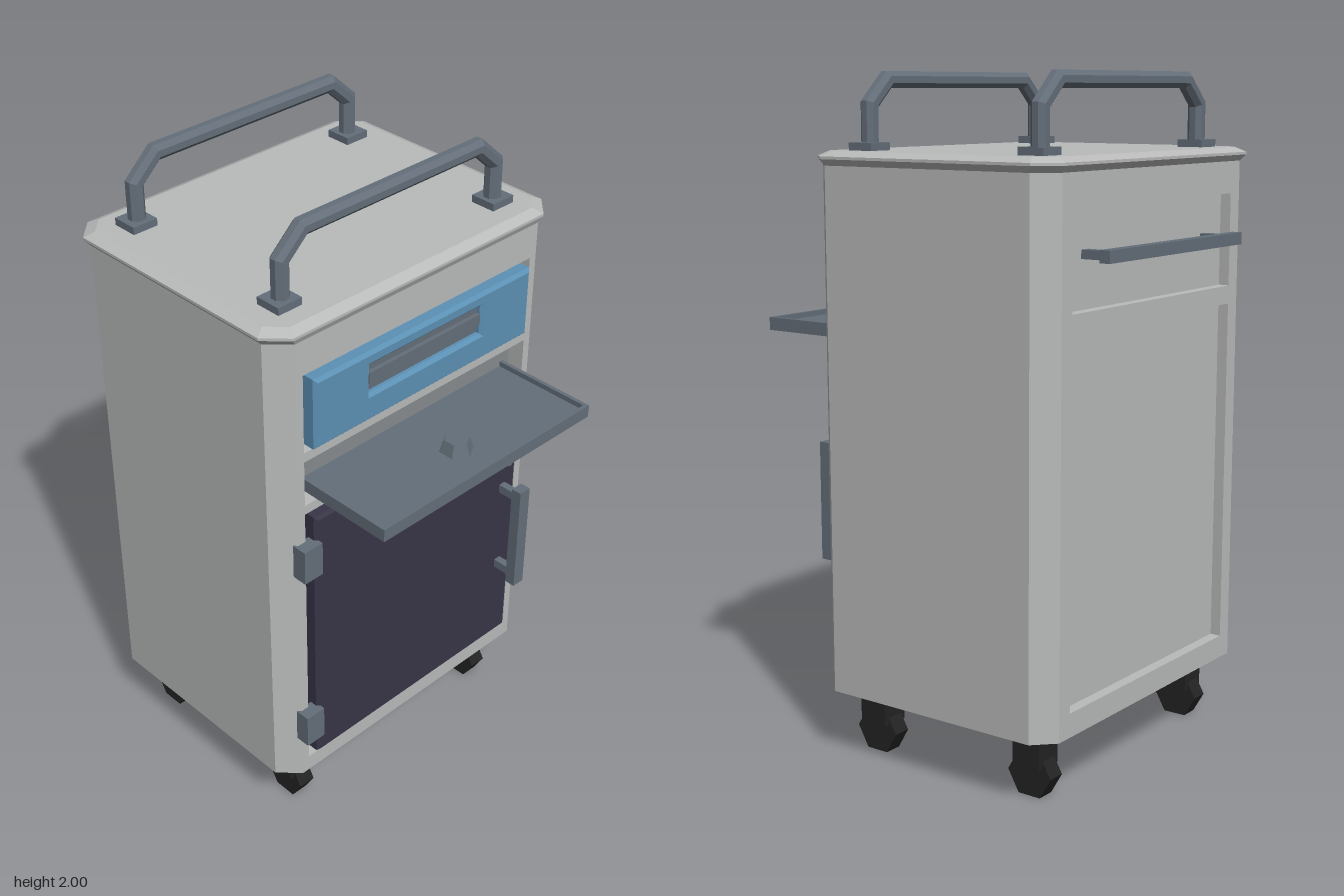
import * as THREE from 'three';

const mat = (name, color) => Object.assign(new THREE.MeshStandardMaterial({ color }), { name });

export function createModel() {
  const root = new THREE.Group();
  root.name = 'bedsideCabinet';
  const shell = mat('shellGrey', 0xb9baba);
  const inner = mat('recessGrey', 0x868b8f);
  const steel = mat('steelBlueGrey', 0x646e79);
  const blue = mat('drawerBlue', 0x5c91b5);
  const dark = mat('doorPurple', 0x383548);
  const black = mat('casterBlack', 0x232323);

  const add = (name, geo, material, parent = root) => {
    const m = new THREE.Mesh(geo, material);
    m.name = name;
    parent.add(m);
    return m;
  };
  // box given by its limits
  const box = (name, material, x0, x1, y0, y1, z0, z1, parent) => {
    const g = new THREE.BoxGeometry(x1 - x0, y1 - y0, z1 - z0);
    g.translate((x0 + x1) / 2, (y0 + y1) / 2, (z0 + z1) / 2);
    return add(name, g, material, parent);
  };
  // flat-shaded skin over convex rings, closed at both ends
  const loft = (rings) => {
    const n = rings[0].length, last = (rings.length - 1) * n, idx = [];
    for (let r = 0; r < rings.length - 1; r++) {
      for (let i = 0; i < n; i++) {
        const a = r * n + i, b = r * n + (i + 1) % n;
        idx.push(a, b, b + n, a, b + n, a + n);
      }
    }
    for (let i = 1; i < n - 1; i++) idx.push(0, i + 1, i, last, last + i, last + i + 1);
    const g = new THREE.BufferGeometry();
    g.setAttribute('position', new THREE.Float32BufferAttribute(rings.flat(2), 3));
    g.setIndex(idx);
    const flat = g.toNonIndexed();
    flat.computeVertexNormals();
    return flat;
  };
  const rect = (P, [x0, x1, y0, y1]) => {
    const p = new P();
    p.moveTo(x0, y0); p.lineTo(x1, y0); p.lineTo(x1, y1); p.lineTo(x0, y1); p.closePath();
    return p;
  };
  // upright plate with rectangular holes and optional bevelled edges
  const plate = (name, material, outline, holes, z0, z1, bevel = 0) => {
    const s = rect(THREE.Shape, outline);
    holes.forEach((h) => s.holes.push(rect(THREE.Path, h)));
    const g = new THREE.ExtrudeGeometry(s, {
      depth: z1 - z0 - 2 * bevel, bevelEnabled: bevel > 0, bevelSize: bevel,
      bevelThickness: bevel, bevelOffset: -bevel, bevelSegments: 1,
    });
    g.translate(0, 0, z0 + bevel);
    return add(name, g, material);
  };

  // cabinet core with framed front and back
  const y0 = 0.2, y1 = 1.745;
  box('cabinetCore', shell, -0.525, 0.525, y0, y1, -0.455, 0.25);
  const openings = [[-0.44, 0.44, 1.39, 1.635], [-0.44, 0.44, 1.215, 1.36], [-0.44, 0.44, 0.255, 1.185]];
  plate('frontFrame', shell, [-0.465, 0.465, y0, y1], openings, 0.25, 0.31);
  openings.forEach(([a, b, c, d]) => box('openingBack', inner, a, b, c, d, 0.25, 0.255));
  const panels = [[-0.415, 0.415, 1.37, 1.645], [-0.415, 0.415, 0.27, 1.315]];
  plate('backFrame', shell, [-0.465, 0.465, y0, y1], panels, -0.515, -0.455);
  panels.forEach(([a, b, c, d]) => box('backPanel', shell, a, b, c, d, -0.482, -0.455));

  // chamfered corner posts
  for (const sx of [-1, 1]) {
    for (const [za, zb] of [[0.25, 0.31], [-0.455, -0.515]]) {
      const tri = [[0.465 * sx, za], [0.525 * sx, za], [0.465 * sx, zb]];
      if (sx * (zb - za) > 0) tri.reverse();
      add('cornerPost', loft([y0, y1].map((y) => tri.map(([x, z]) => [x, y, z]))), shell);
    }
  }

  // bevelled top
  const octagon = (y, hx, zb, zf, c) => [
    [hx, zf - c], [hx, zb + c], [hx - c, zb], [-hx + c, zb],
    [-hx, zb + c], [-hx, zf - c], [-hx + c, zf], [hx - c, zf],
  ].map(([x, z]) => [x, y, z]);
  add('topLid', loft([
    octagon(1.74, 0.525, -0.515, 0.31, 0.06),
    octagon(1.758, 0.54, -0.53, 0.318, 0.063),
    octagon(1.766, 0.54, -0.53, 0.318, 0.063),
    octagon(1.78, 0.51, -0.5, 0.288, 0.05),
  ]), shell);

  // octagonal bar mitred along a path in the xy plane
  const sweep = (pts, r) => {
    const R = r / Math.cos(Math.PI / 8);
    const v = pts.map((p) => new THREE.Vector2(...p));
    return loft(v.map((p, i) => {
      const d0 = p.clone().sub(v[Math.max(i - 1, 0)]).normalize();
      const d1 = v[Math.min(i + 1, v.length - 1)].clone().sub(p).normalize();
      const t = d0.clone().add(d1).normalize();
      const stretch = 1 / t.dot(d1.lengthSq() ? d1 : d0);
      return Array.from({ length: 8 }, (_, k) => {
        const a = (k + 0.5) * Math.PI / 4, u = R * Math.cos(a) * stretch;
        return [p.x - t.y * u, p.y + t.x * u, R * Math.sin(a)];
      });
    }));
  };

  // two rails on top
  for (const z of [0.188, -0.4]) {
    const rail = new THREE.Group();
    rail.name = 'topRail';
    rail.position.z = z;
    root.add(rail);
    add('railBar', sweep([[-0.402, 1.78], [-0.402, 1.908], [-0.328, 1.976],
      [0.328, 1.976], [0.402, 1.908], [0.402, 1.78]], 0.024), steel, rail);
    for (const x of [-0.405, 0.405]) box('railFoot', steel, x - 0.041, x + 0.041, 1.775, 1.802, -0.041, 0.041, rail);
  }

  // drawer with sunken grip
  plate('drawerFront', blue, [-0.42, 0.42, 1.4, 1.62], [[-0.217, 0.217, 1.487, 1.577]], 0.255, 0.335, 0.01);
  box('gripBack', steel, -0.22, 0.22, 1.48, 1.585, 0.255, 0.315);
  box('gripBar', steel, -0.217, 0.217, 1.515, 1.55, 0.315, 0.328);

  // pull-out tray with thin rim and knob
  box('trayFloor', steel, -0.415, 0.415, 1.237, 1.26, 0.25, 0.587);
  box('trayFrontRim', steel, -0.415, 0.415, 1.26, 1.276, 0.575, 0.587);
  for (const s of [-1, 1]) {
    box('traySideRim', steel, s * 0.409 - 0.006, s * 0.409 + 0.006, 1.26, 1.276, 0.25, 0.575);
  }
  const knob = new THREE.CylinderGeometry(0.037, 0.051, 0.038, 6).toNonIndexed();
  knob.computeVertexNormals();
  add('trayKnob', knob, steel).position.set(0, 1.278, 0.455);

  // door, hinges, lock and pull
  plate('door', dark, [-0.42, 0.42, 0.275, 1.17], [], 0.255, 0.332, 0.01);
  for (const y of [0.408, 1.036]) box('hinge', steel, -0.477, -0.41, y - 0.055, y + 0.055, 0.3, 0.347);
  for (const s of [-1, 1]) box('shelfEdge', shell, s * 0.43 - 0.01, s * 0.43 + 0.01, 0.72, 0.75, 0.25, 0.265);
  const lock = new THREE.CylinderGeometry(0.033, 0.033, 0.035, 6).toNonIndexed();
  lock.computeVertexNormals();
  lock.rotateX(Math.PI / 2);
  add('doorLock', lock, steel).position.set(0.36, 1, 0.342);
  box('doorPull', steel, 0.338, 0.38, 0.543, 0.907, 0.39, 0.425);
  for (const y of [0.577, 0.873]) box('pullStem', steel, 0.347, 0.371, y - 0.014, y + 0.014, 0.325, 0.392);

  // rear push bar
  box('rearBar', steel, -0.355, 0.352, 1.502, 1.537, -0.588, -0.556);
  for (const x of [-0.312, 0.312]) box('rearBarStem', steel, x - 0.016, x + 0.016, 1.507, 1.532, -0.558, -0.48);

  // casters
  for (const x of [-0.397, 0.393]) {
    for (const z of [0.178, -0.383]) {
      const caster = new THREE.Group();
      caster.name = 'caster';
      caster.position.set(x, 0, z);
      root.add(caster);
      box('casterFork', black, -0.045, 0.045, 0.088, 0.205, -0.046, 0.046, caster);
      const wheel = new THREE.CylinderGeometry(0.073, 0.073, 0.056, 6).toNonIndexed();
      wheel.computeVertexNormals();
      wheel.rotateZ(Math.PI / 2);
      add('casterWheel', wheel, black, caster).position.y = 0.0632;
    }
  }
  return root;
}
